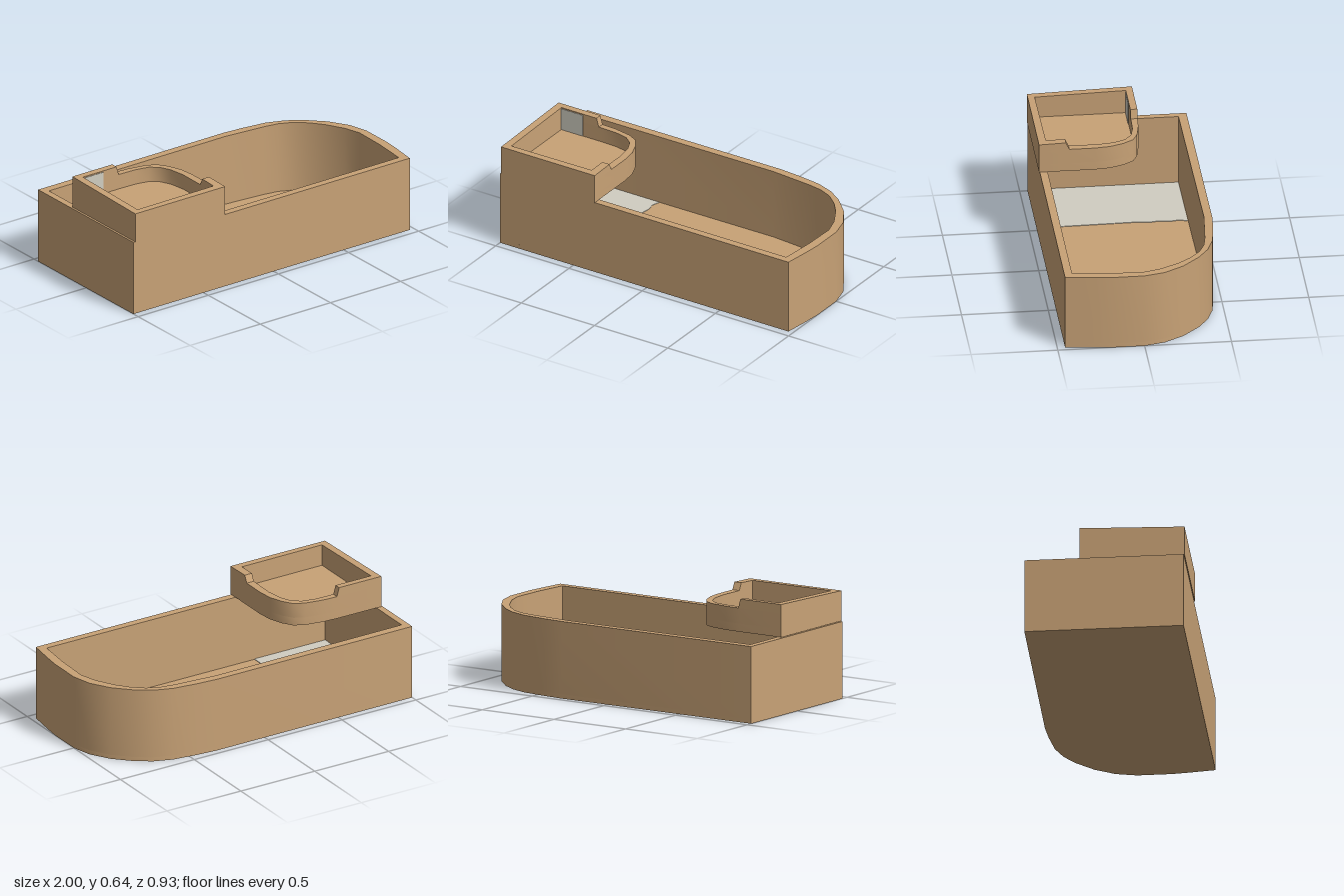
import * as THREE from 'three';
import { toCreasedNormals } from 'three/addons/utils/BufferGeometryUtils.js';

const tan = new THREE.MeshStandardMaterial({ color: 0xc8a276 });
tan.name = 'tan';
const grey = new THREE.MeshStandardMaterial({ color: 0xd0cdc1 });
grey.name = 'paleGrey';

// Footprints as [x, z] points
const tubOuter = [[-1, 0.455], [0.97, 0.455], [0.99, 0.3], [1, 0.2], [1, 0], [0.97, -0.12], [0.9, -0.235],
  [0.8, -0.335], [0.71, -0.395], [0.6, -0.435], [0.45, -0.455], [0.32, -0.465], [-1, -0.46]];
const tubInner = [[-0.96, 0.41], [0.925, 0.41], [0.945, 0.2], [0.95, 0], [0.92, -0.1], [0.86, -0.21],
  [0.8, -0.285], [0.73, -0.345], [0.65, -0.38], [0.56, -0.395], [0.3, -0.418], [-0.96, -0.41]];
const trayOuter = [[-0.99, 0.46], [-0.35, 0.46], [-0.35, 0.14], [-0.36, 0.05], [-0.39, -0.03],
  [-0.43, -0.09], [-0.49, -0.12], [-0.6, -0.14], [-0.7, -0.145], [-0.99, -0.145]];
const trayInner = [[-0.945, 0.42], [-0.4, 0.415], [-0.395, 0.12], [-0.41, 0.02], [-0.44, -0.045],
  [-0.49, -0.085], [-0.57, -0.102], [-0.67, -0.105], [-0.945, -0.105]];
// Raised part of the tray rim, open across the rounded corner
const trayRim = [[-0.35, 0.285], [-0.35, 0.46], [-0.99, 0.46], [-0.99, -0.145], [-0.69, -0.145],
  [-0.69, -0.105], [-0.945, -0.105], [-0.945, 0.42], [-0.4, 0.415], [-0.398, 0.285]];

const outline = (pts) => pts.map(([x, z]) => new THREE.Vector2(x, -z));

// Upright prism over a footprint, from y0 to y1, with an optional opening
function prism(pts, y0, y1, hole) {
  const shape = new THREE.Shape(outline(pts));
  if (hole) shape.holes.push(new THREE.Path(outline(hole)));
  const geo = new THREE.ExtrudeGeometry(shape, { depth: y1 - y0, bevelEnabled: false });
  return geo.rotateX(-Math.PI / 2).translate(0, y0, 0);
}

function add(group, name, geo, material) {
  const mesh = new THREE.Mesh(toCreasedNormals(geo, 0.6), material);
  mesh.name = name;
  group.add(mesh);
}

export function createModel() {
  const model = new THREE.Group();
  model.name = 'cornerTub';

  // Large tub
  const tub = new THREE.Group();
  tub.name = 'tub';
  add(tub, 'tubFloor', prism(tubOuter, 0, 0.025), tan);
  add(tub, 'tubWall', prism(tubOuter, 0.025, 0.45, tubInner), tan);

  // Pale patch on the tub floor with a ragged edge
  const patch = [[-0.96, -0.41], [-0.475, -0.41], [-0.49, -0.36], [-0.48, -0.31], [-0.49, -0.24],
    [-0.48, -0.19], [-0.49, -0.1], [-0.48, 0.41], [-0.96, 0.41]];
  add(tub, 'floorPatch', prism(patch, 0.025, 0.028), grey);

  // Small tray on the corner
  const tray = new THREE.Group();
  tray.name = 'tray';
  add(tray, 'trayFloor', prism(trayOuter, 0.452, 0.5), tan);
  add(tray, 'trayWall', prism(trayOuter, 0.5, 0.59, trayInner), tan);

  // Rim rises gently to the back, and its notch end leans forward
  const rim = prism(trayRim, 0.59, 0.63);
  const p = rim.attributes.position;
  for (let i = 0; i < p.count; i++) {
    if (p.getY(i) < 0.6) continue;
    const x = p.getX(i), z = p.getZ(i);
    p.setY(i, 0.628 + (0.46 - z) * 0.026);
    if (Math.abs(z - 0.285) < 0.01) p.setZ(i, 0.305);
    if (Math.abs(x + 0.69) < 0.01) p.setX(i, -0.705);
  }
  rim.computeVertexNormals();
  add(tray, 'trayRim', rim, tan);

  // Pale patch on the inside of the tray's back wall
  const wallPatch = new THREE.BoxGeometry(0.145, 0.135, 0.004).translate(-0.872, 0.568, -0.104);
  add(tray, 'wallPatch', wallPatch, grey);

  model.add(tub, tray);
  return model;
}
